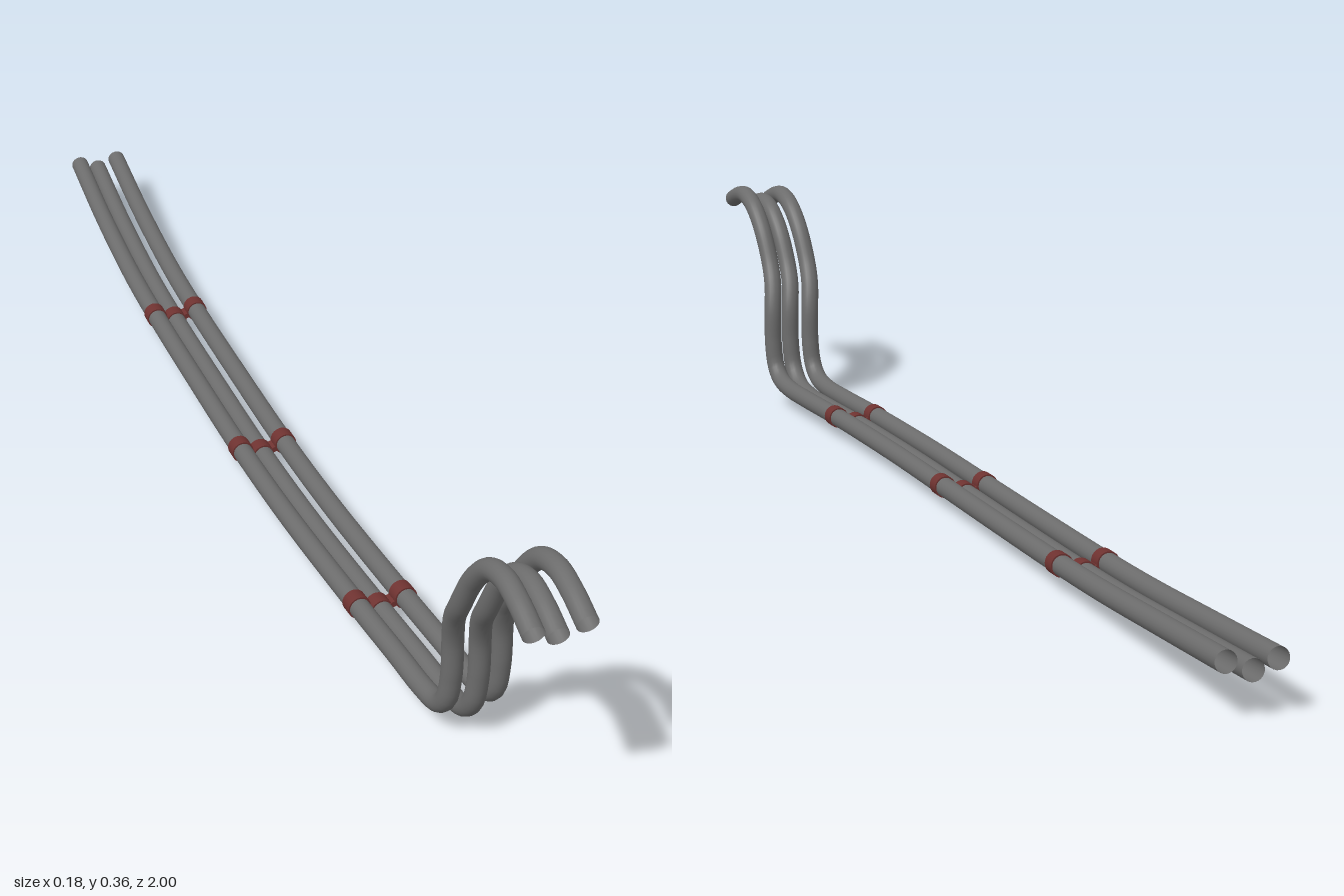
import * as THREE from 'three';

const HOSE_R = 0.0147;
const CLAMP_R = 0.0168;
const CLAMP_W = 0.022;

// Centre line of the bundle from the front end to the back end: x, y, z
const PATH = [
  [0.043, 0.309, 0.996], [0.043, 0.323, 0.95], [0.043, 0.328, 0.905], [0.041, 0.316, 0.865],
  [0.036, 0.283, 0.832], [0.031, 0.228, 0.802], [0.033, 0.195, 0.78], [0.037, 0.16, 0.768],
  [0.038, 0.1, 0.765], [0.035, 0.055, 0.757], [0.032, 0.03, 0.73], [0.028, 0.021, 0.68],
  [0.021, 0.02, 0.6], [0.007, 0.02, 0.465], [-0.014, 0.018, 0.22], [-0.026, 0.017, 0.005],
  [-0.034, 0.019, -0.22], [-0.041, 0.023, -0.45], [-0.044, 0.029, -0.6], [-0.044, 0.044, -0.8],
  [-0.04, 0.062, -0.999],
].map((p) => new THREE.Vector3(...p));
const CLAMP_POINTS = [13, 15, 17];

// Sideways and normal offset of each hose within the bundle
const HOSES = [
  { name: 'rightHose', side: -0.033, lift: 0.011 },
  { name: 'middleHose', side: 0, lift: 0 },
  { name: 'leftHose', side: 0.035, lift: 0.014 },
];

// Shift the centre line sideways and along its own upward normal
function hosePoints({ side, lift }) {
  return PATH.map((p, i) => {
    const a = PATH[Math.max(i - 1, 0)];
    const b = PATH[Math.min(i + 1, PATH.length - 1)];
    const t = a.clone().sub(b).setX(0).normalize();
    return new THREE.Vector3(p.x + side, p.y + t.z * lift, p.z - t.y * lift);
  });
}

// Short sleeve with a rectangular section, its axis along z
function sleeveGeometry() {
  const h = CLAMP_W / 2;
  const r = HOSE_R - 0.001;
  const corners = [[r, -h], [CLAMP_R, -h], [CLAMP_R, h], [r, h]];
  // Doubled corners keep the edges crisp
  const profile = corners.flatMap((c) => [c, c]).map((c) => new THREE.Vector2(...c));
  return new THREE.LatheGeometry(profile, 24).rotateX(Math.PI / 2);
}

export function createModel() {
  const group = new THREE.Group();
  group.name = 'hoseBundle';
  const hoseMat = new THREE.MeshStandardMaterial({ color: 0x6c6c6c, side: THREE.DoubleSide });
  const clampMat = new THREE.MeshStandardMaterial({ color: 0x6e3230, side: THREE.DoubleSide });

  // Open-ended hoses
  const lines = HOSES.map(hosePoints);
  lines.forEach((points, i) => {
    const curve = new THREE.CatmullRomCurve3(points, false, 'centripetal');
    const hose = new THREE.Mesh(new THREE.TubeGeometry(curve, 180, HOSE_R, 20, false), hoseMat);
    hose.name = HOSES[i].name;
    group.add(hose);
  });

  // Clamps: one sleeve per hose, joined by small webs
  const sleeve = sleeveGeometry();
  const web = new THREE.BoxGeometry(0.012, 0.008, CLAMP_W);
  CLAMP_POINTS.forEach((k) => {
    const clamp = new THREE.Group();
    clamp.name = 'clamp';
    lines.forEach((points, i) => {
      const ring = new THREE.Mesh(sleeve, clampMat);
      ring.name = 'clampSleeve';
      ring.position.copy(points[k]);
      const dir = points[k - 1].clone().sub(points[k + 1]).normalize();
      ring.quaternion.setFromUnitVectors(new THREE.Vector3(0, 0, 1), dir);
      clamp.add(ring);
      if (i === 0) return;
      const prev = lines[i - 1][k];
      const link = new THREE.Mesh(web, clampMat);
      link.name = 'clampWeb';
      link.position.copy(prev).lerp(points[k], 0.5);
      link.rotation.z = Math.atan2(points[k].y - prev.y, points[k].x - prev.x);
      clamp.add(link);
    });
    group.add(clamp);
  });
  return group;
}
